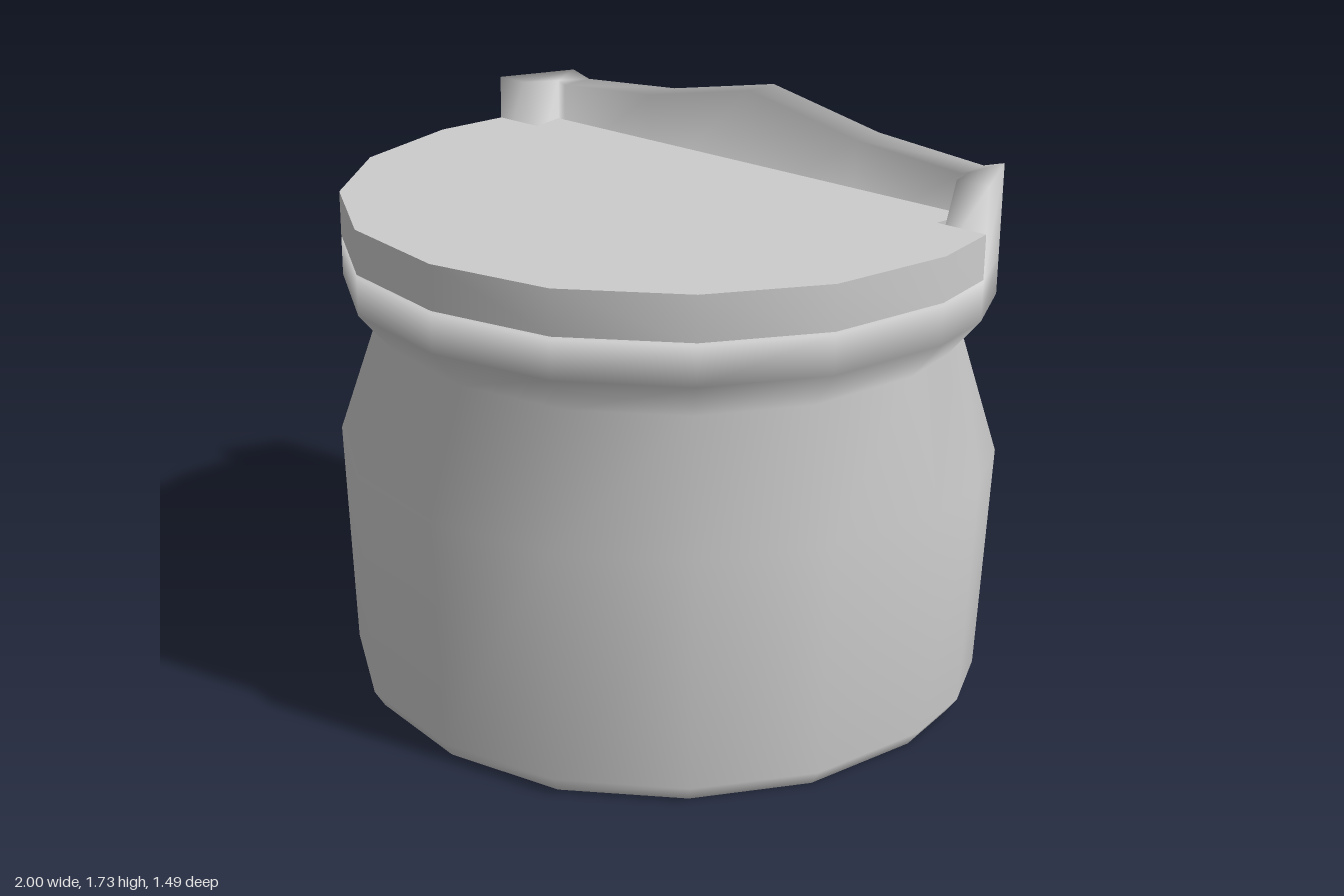
import * as THREE from 'three';
import { toCreasedNormals } from 'three/addons/utils/BufferGeometryUtils.js';

// Right half of the D-shaped outline [x, z], from front centre to back centre
const HALF = [[0, 0.72], [0.375, 0.65], [0.69, 0.43], [0.9, 0.12], [0.975, -0.26],
  [0.945, -0.495], [0.84, -0.73], [0.77, -0.73], [0.4, -0.73], [0, -0.73]];
const OUTLINE = [...HALF, ...HALF.slice(1, -1).reverse().map(([x, z]) => [-x, z])];

// Body levels: [y, half width, front z, back z]
const LEVELS = [[0, 0.94, 0.69, -0.71], [0.05, 0.975, 0.72, -0.73], [0.76, 1, 0.745, -0.745],
  [1.13, 0.875, 0.62, -0.69], [1.25, 0.975, 0.72, -0.73], [1.365, 0.975, 0.72, -0.73]];

// Appends the mirrored copy of a half row of [x, y, z] points
const mirrorRow = (row) => [...row, ...row.slice(0, -1).reverse().map(([x, y, z]) => [-x, y, z])];

function bodyGeometry() {
  const pos = [], index = [];
  const add = (x, y, z) => pos.push(x, y, z) / 3 - 1;
  const quad = (a, b, c, d) => index.push(a, b, c, a, c, d);
  const n = OUTLINE.length;

  // Side walls, open at the bottom
  const rings = LEVELS.map(([y, w, front, back]) => OUTLINE.map(([x, z]) =>
    add(x * w / 0.975, y, back + (z + 0.73) / 1.45 * (front - back))));
  for (let i = 0; i + 1 < rings.length; i++) {
    for (let j = 0; j < n; j++) {
      const k = (j + 1) % n;
      quad(rings[i][j], rings[i][k], rings[i + 1][k], rings[i + 1][j]);
    }
  }

  // Raised back wall with short returns at both sides
  const rim = rings[rings.length - 1];
  const outer = rim.slice(5, 14);
  const row = (pts) => mirrorRow(pts).map((p) => add(...p));
  const top = row([[0.945, 1.64, -0.495], [0.84, 1.64, -0.73], [0.77, 1.62, -0.73],
    [0.4, 1.65, -0.73], [0, 1.73, -0.73]]);
  const inTop = row([[0.838, 1.64, -0.495], [0.8, 1.63, -0.615], [0.77, 1.62, -0.615],
    [0.4, 1.65, -0.615], [0, 1.73, -0.615]]);
  const inBot = row([[0.78, 1.365, -0.495], [0.8, 1.365, -0.615], [0.77, 1.365, -0.615],
    [0.4, 1.365, -0.615], [0, 1.365, -0.615]]);
  for (let k = 0; k + 1 < outer.length; k++) {
    quad(outer[k], outer[k + 1], top[k + 1], top[k]);
    quad(top[k], top[k + 1], inTop[k + 1], inTop[k]);
    quad(inTop[k], inTop[k + 1], inBot[k + 1], inBot[k]);
  }
  quad(inBot[0], outer[0], top[0], inTop[0]);
  quad(outer[8], inBot[8], inTop[8], top[8]);

  // Shelf under the lid
  const centre = add(0, 1.365, 0);
  const loop = [...rim.slice(13), ...rim.slice(0, 6), ...inBot];
  loop.forEach((a, i) => index.push(centre, a, loop[(i + 1) % loop.length]));

  const geo = new THREE.BufferGeometry();
  geo.setAttribute('position', new THREE.Float32BufferAttribute(pos, 3));
  geo.setIndex(index);
  geo.computeVertexNormals();
  return geo;
}

// Flat lid with a smooth rim, notched around the returns of the back wall
function lidGeometry() {
  const right = [...HALF.slice(0, 6), [0.78, -0.495], [0.8, -0.614]];
  const left = right.slice(1).reverse().map(([x, z]) => [-x, z]);
  const shape = new THREE.Shape([...right, ...left].map(([x, z]) => new THREE.Vector2(x, -z)));
  const geo = new THREE.ExtrudeGeometry(shape, { depth: 0.132, bevelEnabled: false });
  return toCreasedNormals(geo.rotateX(-Math.PI / 2).translate(0, 1.373, 0), 0.7);
}

export function createModel() {
  const grey = new THREE.MeshStandardMaterial({ color: 0xcccccc, side: THREE.DoubleSide });
  grey.name = 'light grey';
  const group = new THREE.Group();
  group.name = 'jar';
  const body = new THREE.Mesh(bodyGeometry(), grey);
  body.name = 'body';
  const lid = new THREE.Mesh(lidGeometry(), grey);
  lid.name = 'lid';
  group.add(body, lid);
  return group;
}
